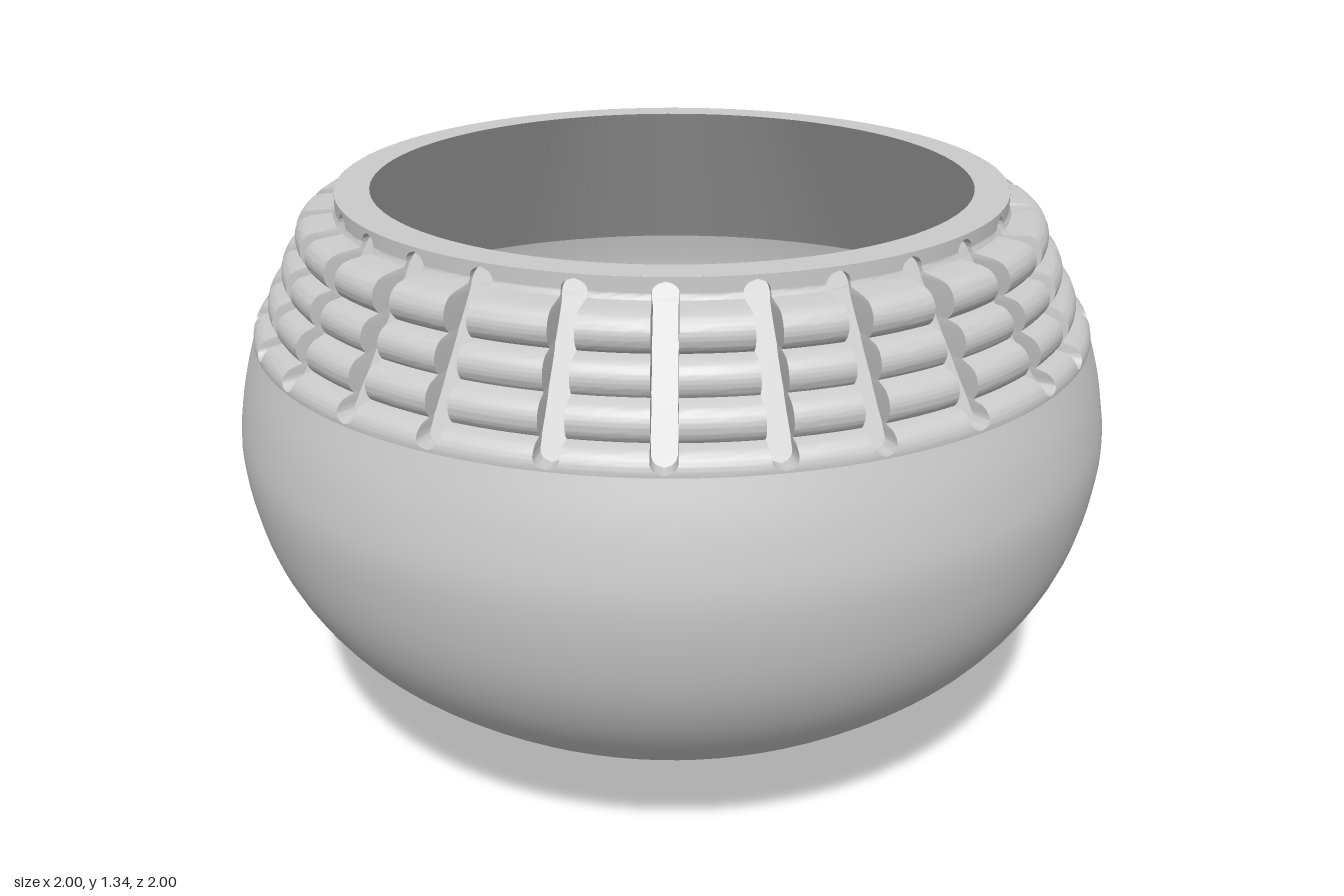
import * as THREE from 'three';
import { toCreasedNormals } from 'three/addons/utils/BufferGeometryUtils.js';

const material = new THREE.MeshStandardMaterial({ color: 0xcccccc, side: THREE.DoubleSide });
const vectors = (list) => list.map(([x, y]) => new THREE.Vector2(x, y));
const { lerp, clamp, degToRad, mapLinear } = THREE.MathUtils;

// Stacked coils from bottom to top: [ring radius, height]
const COILS = [[0.91, 1.035], [0.872, 1.107], [0.836, 1.18], [0.8, 1.255]];
const COIL_RADIUS = 0.042;
const BAND_BOTTOM = 1.03;
const BAND_TOP = 1.345;

// Grooves on one half: [angle at the bottom, angle at the top] in degrees from +z
const HALF = [
  [7.4, 7.4], [20.5, 20.5], [34, 33.5], [46, 46], [60, 59.5], [75, 72.5],
  [85.8, 87.5], [103, 105.3], [122, 122], [141, 140], [157.7, 158.5], [172.5, 172],
];
const GROOVES = [...HALF, ...HALF.map(([b, t]) => [360 - b, 360 - t]).reverse()];
const GROOVE_BOTTOM = 1.035;
const GROOVE_TOP = 1.335;
const GROOVE_HALF_WIDTH = 0.026;

// Outer radius of the coiled band at height y
function bandRadius(y) {
  let r = clamp(mapLinear(y, BAND_BOTTOM, 1.31, 0.93, 0.752), 0.752, 0.93);
  for (const [cr, cy] of COILS) {
    const h = COIL_RADIUS ** 2 - (y - cy) ** 2;
    if (h > 0) r = Math.max(r, cr + Math.sqrt(h));
  }
  return r;
}

// Radius of the groove floor, and half width of a groove with rounded ends
const floorRadius = (y) => mapLinear(y, GROOVE_BOTTOM, GROOVE_TOP, 0.915, 0.727);
function grooveHalfWidth(y) {
  const cap = 0.022;
  const d = clamp(Math.min(y - GROOVE_BOTTOM, GROOVE_TOP - y), 0, cap);
  return GROOVE_HALF_WIDTH * Math.sqrt(1 - ((cap - d) / cap) ** 2);
}

// One ring of the band at height y: [angle, radius] around the axis
function bandRing(y) {
  const outer = bandRadius(y);
  const floor = Math.min(outer, floorRadius(y));
  const half = grooveHalfWidth(y) / outer;
  const t = mapLinear(y, GROOVE_BOTTOM, GROOVE_TOP, 0, 1);
  const centres = GROOVES.map(([b, top]) => degToRad(lerp(b, top, t)));
  const ring = [];
  centres.forEach((a, i) => {
    const next = i + 1 < centres.length ? centres[i + 1] : centres[0] + Math.PI * 2;
    ring.push([a - half, outer], [a - half, floor], [a + half, floor]);
    const steps = 6;
    for (let s = 0; s < steps; s++) ring.push([lerp(a + half, next - half, s / steps), outer]);
  });
  return ring;
}

// Coiled band with upright grooves cut across it, skinned ring by ring
function coiledBand() {
  const rows = 72;
  const positions = [];
  const index = [];
  let columns = 0;
  for (let j = 0; j <= rows; j++) {
    const y = lerp(BAND_BOTTOM, BAND_TOP, j / rows);
    const ring = bandRing(y);
    columns = ring.length;
    for (const [a, r] of ring) positions.push(r * Math.sin(a), y, r * Math.cos(a));
  }
  for (let j = 0; j < rows; j++) {
    for (let i = 0; i < columns; i++) {
      const k = (i + 1) % columns;
      const a = j * columns + i;
      const b = j * columns + k;
      index.push(a, b, b + columns, a, b + columns, a + columns);
    }
  }
  const geometry = new THREE.BufferGeometry();
  geometry.setAttribute('position', new THREE.Float32BufferAttribute(positions, 3));
  geometry.setIndex(index);
  return toCreasedNormals(geometry, 0.6);
}

export function createModel() {
  const model = new THREE.Group();
  model.name = 'bowl';
  const addMesh = (name, geometry) => {
    const mesh = new THREE.Mesh(geometry, material);
    mesh.name = name;
    model.add(mesh);
  };

  // Round body tapering to a pointed base
  const outline = new THREE.SplineCurve(vectors([
    [0.007, 0.004], [0.2, 0.05], [0.39, 0.102], [0.58, 0.179], [0.74, 0.283],
    [0.87, 0.408], [0.96, 0.57], [1, 0.763], [0.985, 0.91], [0.95, 1.035],
  ]));
  addMesh('body', new THREE.LatheGeometry(outline.getPoints(45), 96));

  // Coiled and grooved band around the shoulder
  addMesh('coiledBand', coiledBand());

  // Flat rim, and the inner wall widening down to the body
  const rim = new THREE.LatheGeometry(vectors([
    [0.752, BAND_TOP], [0.675, BAND_TOP], [0.98, 0.925],
  ]), 96);
  addMesh('rimAndInnerWall', toCreasedNormals(rim, 0.5));

  return model;
}
